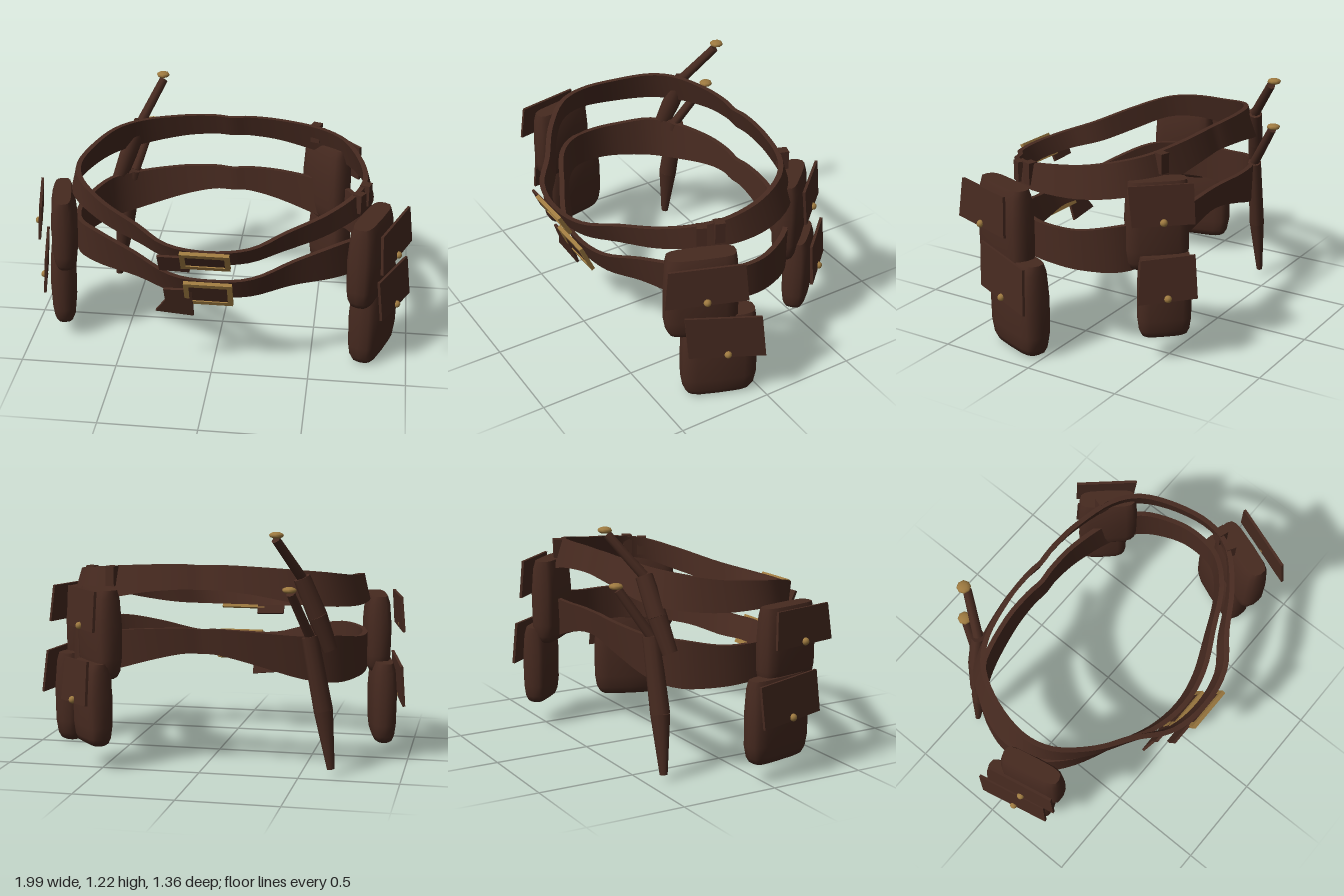
import * as THREE from 'three';
import { toCreasedNormals } from 'three/addons/utils/BufferGeometryUtils.js';

const leather = new THREE.MeshStandardMaterial({ color: 0x472a20 });
leather.name = 'brown leather';
const brass = new THREE.MeshStandardMaterial({ color: 0x9e7a40 });
brass.name = 'aged brass';

function addMesh(parent, name, geometry, material) {
  const mesh = new THREE.Mesh(geometry, material);
  mesh.name = name;
  parent.add(mesh);
  return mesh;
}

// Skin a list of rings, each a loop of [x, y, z] corners
function loft(rings, closed, crease) {
  const n = rings[0].length, index = [];
  const last = closed ? rings.length : rings.length - 1;
  for (let i = 0; i < last; i++) {
    const k = (i + 1) % rings.length;
    for (let j = 0; j < n; j++) {
      const a = i * n + j, b = i * n + (j + 1) % n, c = k * n + (j + 1) % n, d = k * n + j;
      index.push(a, b, c, a, c, d);
    }
  }
  const g = new THREE.BufferGeometry();
  g.setAttribute('position', new THREE.Float32BufferAttribute(rings.flat(2), 3));
  g.setIndex(index);
  return toCreasedNormals(g, crease);
}

// Belt: half path rows are [x, y, z, half height, outward lean], mirrored to the other side
function belt(parent, name, half) {
  const rows = [...half, ...half.slice(1, -1).reverse().map(([x, ...rest]) => [-x, ...rest])];
  const path = new THREE.CatmullRomCurve3(rows.map(r => new THREE.Vector3(r[0], r[1], r[2])), true, 'catmullrom', 0.5);
  const size = new THREE.CatmullRomCurve3(rows.map(r => new THREE.Vector3(r[3], r[4], 0)), true, 'catmullrom', 0.5);
  const rings = [], steps = 88, t = 0.013;
  for (let i = 0; i < steps; i++) {
    const p = path.getPoint(i / steps), s = size.getPoint(i / steps), d = path.getTangent(i / steps);
    const len = Math.hypot(d.x, d.z), nx = -d.z / len, nz = d.x / len;
    rings.push([[t, 1], [t, -1], [-t, -1], [-t, 1]].map(([o, v]) => {
      const out = o + v * s.x * s.y;
      return [p.x + nx * out, p.y + v * s.x, p.z + nz * out];
    }));
  }
  addMesh(parent, name, loft(rings, true, 0.7), leather);
}

// Pouch: origin at the top of the body, local +z faces away from the wearer
function pouch(parent, name, o) {
  const g = new THREE.Group();
  g.name = name;
  g.position.set(o.x, o.y, o.z);
  g.rotation.y = Math.atan2(o.nx, o.nz);
  parent.add(g);

  const { w, h, d } = o;
  // Body: [height, width scale, depth scale] from the rounded bottom to the top
  const profile = [[-1, 0, 0], [-1, 0.74, 0.5], [-0.975, 0.85, 0.74], [-0.91, 0.94, 0.9], [-0.77, 1, 1],
    [-0.4, 1, 1.05], [-0.1, 0.96, 0.9], [0, 0.92, 0.7], [0, 0, 0]];
  const rings = profile.map(([v, sx, sz]) => Array.from({ length: 16 }, (_, j) => {
    const a = j / 16 * Math.PI * 2, s = Math.sin(a), c = Math.cos(a);
    return [Math.sign(s) * Math.abs(s) ** 0.5 * sx * w / 2, v * h, Math.sign(c) * Math.abs(c) ** 0.6 * sz * d / 2];
  }));
  addMesh(g, 'pouchBody', loft(rings, false, 0.85), leather);

  // Flap: thin plate whose lower corners are scaled separately, swinging slightly outward
  const flap = new THREE.Group();
  flap.name = 'pouchFlap';
  flap.position.set(0, o.flapY ?? 0, d / 2 + o.gap);
  flap.rotation.set(-0.08, 0, o.roll ?? 0);
  g.add(flap);
  const fw = w * 0.5, fh = o.flapH, [left, right] = o.lower ?? [1.1, 1.1];
  const corners = [[-fw, 0], [-fw * left, -fh], [fw * right, -fh], [fw, 0]];
  const shape = new THREE.Shape(corners.map(p => new THREE.Vector2(...p)));
  addMesh(flap, 'flapPlate', new THREE.ExtrudeGeometry(shape, { depth: 0.014, bevelEnabled: false }), leather);
  const stud = addMesh(flap, 'flapStud', new THREE.SphereGeometry(0.019, 10, 8), brass);
  stud.position.set(fw * (right - left) / 2, -fh + 0.016, 0.016);
}

// Buckle: rectangular frame with a hole over a leather backing
function buckle(parent, name, y, z, height, tilt) {
  const g = new THREE.Group();
  g.name = name;
  g.position.set(-0.008, y, z);
  g.rotation.x = tilt;
  parent.add(g);
  const rect = (w, h) => [[-w, -h], [w, -h], [w, h], [-w, h]].map(p => new THREE.Vector2(...p));
  const shape = new THREE.Shape(rect(0.122, height / 2));
  shape.holes.push(new THREE.Path(rect(0.097, height / 2 - 0.024)));
  addMesh(g, 'buckleFrame', new THREE.ExtrudeGeometry(shape, { depth: 0.02, bevelEnabled: false }), brass);
  addMesh(g, 'buckleBacking', new THREE.BoxGeometry(0.2, height - 0.04, 0.012), leather).position.z = 0.008;
}

// Loose strap end hanging beside a buckle
function strapEnd(parent, name, corners, y, z, tilt) {
  const shape = new THREE.Shape(corners.map(([px, py]) => new THREE.Vector2(px, py - y)));
  const m = addMesh(parent, name, new THREE.ExtrudeGeometry(shape, { depth: 0.014, bevelEnabled: false }), leather);
  m.position.set(0, y, z);
  m.rotation.x = tilt;
}

// Tapered rod between two points, its flatter side facing away from the wearer
function rod(parent, name, from, to, r0, r1, flat, sides) {
  const a = new THREE.Vector3(...from), b = new THREE.Vector3(...to);
  const up = a.clone().sub(b), len = up.length();
  up.normalize();
  const side = up.clone().cross(new THREE.Vector3(-0.6, 0, -0.8)).normalize();
  const geo = new THREE.CylinderGeometry(r0, r1, len, sides);
  geo.scale(1, 1, flat);
  const m = addMesh(parent, name, geo, leather);
  m.quaternion.setFromRotationMatrix(new THREE.Matrix4().makeBasis(side, up, side.clone().cross(up)));
  m.position.copy(a).add(b).multiplyScalar(0.5);
}

// Dagger: pommel, grip and a sheath that tapers after a middle point
function dagger(parent, name, pommel, grip, throat, middle, tip, tipRadius) {
  const g = new THREE.Group();
  g.name = name;
  parent.add(g);
  const cap = addMesh(g, 'pommel', new THREE.SphereGeometry(0.036, 8, 6), brass);
  cap.scale.y = 0.45;
  cap.position.set(...pommel);
  rod(g, 'grip', grip, throat, 0.023, 0.026, 1, 8);
  rod(g, 'sheathUpper', throat, middle, 0.044, 0.05, 0.8, 10);
  rod(g, 'sheathLower', middle, tip, 0.05, tipRadius, 0.8, 10);
}

// Loop wrapped over a belt
function beltLoop(parent, x, y, z, nx, nz, h) {
  const m = addMesh(parent, 'beltLoop', new THREE.BoxGeometry(0.05, h, 0.05), leather);
  m.position.set(x, y, z);
  m.rotation.y = Math.atan2(nx, nz);
}

export function createModel() {
  const model = new THREE.Group();
  model.name = 'utilityBelts';

  belt(model, 'upperBelt', [
    [0, 0.75, 0.62, 0.042, 0.45], [0.2, 0.757, 0.585, 0.045, 0.4], [0.36, 0.785, 0.475, 0.055, 0.25],
    [0.55, 0.83, 0.365, 0.06, 0.1], [0.7, 0.88, 0.23, 0.06, -0.1], [0.755, 0.895, 0.07, 0.065, -0.25],
    [0.725, 0.9, -0.13, 0.075, -0.3], [0.635, 0.92, -0.305, 0.082, -0.3], [0.49, 0.94, -0.405, 0.08, -0.3],
    [0.27, 0.97, -0.45, 0.066, -0.3], [0.1, 0.982, -0.458, 0.06, -0.3], [0, 0.98, -0.45, 0.058, -0.3]]);
  belt(model, 'lowerBelt', [
    [0, 0.51, 0.5, 0.055, 0.4], [0.2, 0.51, 0.465, 0.06, 0.35], [0.4, 0.555, 0.375, 0.075, 0.2],
    [0.6, 0.578, 0.275, 0.097, 0.1], [0.73, 0.575, 0.15, 0.095, 0], [0.765, 0.57, 0, 0.095, 0],
    [0.745, 0.565, -0.15, 0.102, 0], [0.655, 0.575, -0.315, 0.118, 0], [0.5, 0.592, -0.408, 0.107, 0.05],
    [0.27, 0.637, -0.455, 0.082, 0.1], [0.1, 0.662, -0.46, 0.066, 0.1], [0, 0.662, -0.452, 0.062, 0.1]]);

  buckle(model, 'upperBuckle', 0.745, 0.632, 0.125, 0.5);
  buckle(model, 'lowerBuckle', 0.495, 0.515, 0.165, 0.42);
  strapEnd(model, 'upperStrapEnd', [[-0.09, 0.76], [-0.245, 0.76], [-0.24, 0.655], [-0.09, 0.65]], 0.75, 0.628, 0.4);
  strapEnd(model, 'lowerStrapEnd',
    [[-0.09, 0.515], [-0.235, 0.51], [-0.23, 0.43], [-0.285, 0.345], [-0.09, 0.325]], 0.5, 0.518, 0.3);

  // Left hip
  pouch(model, 'leftUpperPouch', { x: 0.785, y: 0.845, z: 0.27, nx: 0.94, nz: 0.345, w: 0.37, h: 0.46, d: 0.15,
    flapH: 0.2, gap: 0.042 });
  pouch(model, 'leftLowerPouch', { x: 0.815, y: 0.49, z: 0.178, nx: 0.935, nz: 0.355, w: 0.385, h: 0.487, d: 0.165,
    flapH: 0.225, flapY: 0.025, roll: -0.09, gap: 0.005, lower: [0.8, 1.22] });
  // Right hip
  pouch(model, 'rightUpperPouch', { x: -0.81, y: 0.845, z: 0.18, nx: -0.975, nz: 0.2, w: 0.34, h: 0.4, d: 0.13,
    flapH: 0.18, gap: 0.035 });
  pouch(model, 'rightLowerPouch', { x: -0.85, y: 0.51, z: 0.105, nx: -0.975, nz: 0.2, w: 0.38, h: 0.42, d: 0.13,
    flapH: 0.21, roll: 0.06, gap: 0.005, lower: [1, 1] });
  // Left of the back
  pouch(model, 'backUpperPouch', { x: 0.525, y: 0.915, z: -0.438, nx: 0.74, nz: -0.67, w: 0.315, h: 0.45, d: 0.14,
    flapH: 0.2, gap: 0.018, lower: [0.9, 1.04] });
  pouch(model, 'backLowerPouch', { x: 0.55, y: 0.55, z: -0.497, nx: 0.74, nz: -0.67, w: 0.265, h: 0.42, d: 0.135,
    flapH: 0.22, flapY: 0.015, roll: 0.05, gap: 0.01, lower: [1.2, 1] });

  // Loops carrying the pouches
  beltLoop(model, 0.715, 0.895, 0.225, 0.88, 0.48, 0.1);
  beltLoop(model, 0.745, 0.905, 0.145, 0.95, 0.3, 0.11);
  beltLoop(model, 0.46, 0.975, -0.425, 0.3, -0.95, 0.1);

  // Daggers on the right of the back
  dagger(model, 'upperDagger', [-0.4, 1.207, -0.585], [-0.395, 1.185, -0.57], [-0.5, 0.99, -0.43],
    [-0.575, 0.8, -0.4], [-0.635, 0.63, -0.365], 0.04);
  dagger(model, 'lowerDagger', [-0.46, 0.943, -0.56], [-0.465, 0.925, -0.55], [-0.54, 0.7, -0.415],
    [-0.61, 0.33, -0.405], [-0.652, 0.035, -0.41], 0.02);

  return model;
}
